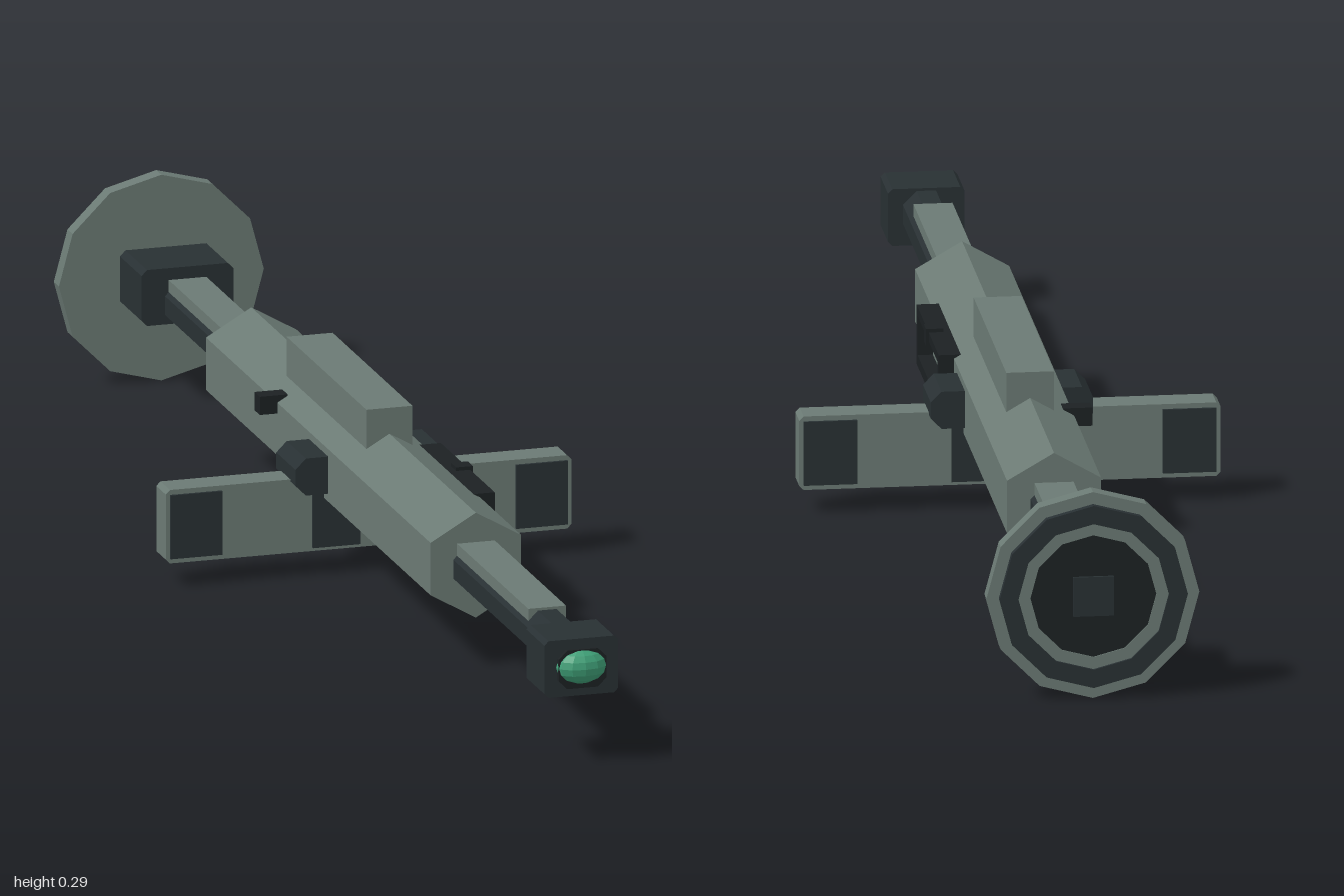
import * as THREE from 'three';

const mat = (color) => new THREE.MeshStandardMaterial({ color, flatShading: true });

export function createModel() {
  const model = new THREE.Group();
  const grey = mat(0x6b7a74), dark = mat(0x283033), black = mat(0x1c2123), green = mat(0x3f9f77);
  const axisY = 0.148;

  const add = (name, geometry, material, x = 0, y = 0, z = 0) => {
    const mesh = new THREE.Mesh(geometry, material);
    mesh.name = name;
    mesh.position.set(x, y, z);
    model.add(mesh);
    return mesh;
  };
  // Box given by its limits on each axis
  const box = (name, material, [x0, x1], [y0, y1], [z0, z1]) =>
    add(name, new THREE.BoxGeometry(x1 - x0, y1 - y0, z1 - z0), material,
      (x0 + x1) / 2, (y0 + y1) / 2, (z0 + z1) / 2);
  // Box with cut corners in the xy plane, running along z
  const chamferBox = (name, material, [x0, x1], [y0, y1], [z0, z1], c) => {
    const shape = new THREE.Shape([
      [x0 + c, y0], [x1 - c, y0], [x1, y0 + c], [x1, y1 - c],
      [x1 - c, y1], [x0 + c, y1], [x0, y1 - c], [x0, y0 + c],
    ].map(([x, y]) => new THREE.Vector2(x, y)));
    const geometry = new THREE.ExtrudeGeometry(shape, { depth: z1 - z0, bevelEnabled: false });
    return add(name, geometry, material, 0, 0, z0);
  };
  // Faceted prism along z with one corner pointing up
  const prism = (name, material, radius, sides, [z0, z1], y = axisY, turn = 0) => {
    const geometry = new THREE.CylinderGeometry(radius, radius, z1 - z0, sides);
    geometry.rotateY(turn).rotateX(-Math.PI / 2);
    return add(name, geometry, material, 0, y, (z0 + z1) / 2);
  };

  // Main body and top ridge
  prism('body', grey, 0.075, 6, [-0.55, 0.49]);
  box('topRidge', grey, [-0.033, 0.033], [0.17, 0.26], [-0.28, 0.09]);

  // Inner tube with its upper strips
  prism('innerTube', dark, 0.035, 8, [-0.97, 0.93], 0.145, Math.PI / 8);
  box('frontStrip', grey, [-0.027, 0.027], [0.16, 0.181], [0.48, 0.82]);
  box('rearStrip', grey, [-0.027, 0.027], [0.16, 0.181], [-0.86, -0.54]);

  // Front housing and lens
  chamferBox('frontHousing', dark, [-0.053, 0.053], [0.1, 0.181], [0.895, 0.978], 0.006);
  chamferBox('lensSeat', black, [-0.034, 0.034], [0.112, 0.167], [0.97, 0.984], 0.012);
  const lens = add('lens', new THREE.SphereGeometry(1, 12, 8), green, 0, 0.142, 0.976);
  lens.scale.set(0.037, 0.025, 0.024);

  // Rear housing
  chamferBox('rearHousing', dark, [-0.066, 0.066], [0.118, 0.198], [-0.945, -0.845], 0.008);

  // Twelve-sided end plate with raised rings on its back
  prism('endPlate', grey, 0.147, 12, [-0.99, -0.966]);
  const ring = (name, material, outer, inner, depth) => {
    const shape = new THREE.Shape();
    const hole = new THREE.Path();
    for (let i = 0; i < 12; i++) {
      const a = (i * Math.PI) / 6, s = i ? 'lineTo' : 'moveTo';
      shape[s](outer * Math.cos(a), outer * Math.sin(a));
      hole[s](inner * Math.cos(a), inner * Math.sin(a));
    }
    shape.holes.push(hole);
    add(name, new THREE.ExtrudeGeometry(shape, { depth, bevelEnabled: false }), material, 0, axisY, -0.989 - depth);
  };
  ring('outerRing', dark, 0.13, 0.104, 0.011);
  ring('middleRing', grey, 0.104, 0.087, 0.007);
  prism('plateCentre', black, 0.087, 12, [-0.994, -0.985]);
  box('plateBlock', dark, [-0.028, 0.028], [0.12, 0.176], [-0.998, -0.99]);

  // Crossguard with dark end pads, inner pads and side collars
  chamferBox('crossguard', grey, [-0.291, 0.291], [0.035, 0.14], [-0.051, -0.007], 0.006);
  for (const side of [-1, 1]) {
    const span = (a, b) => (side > 0 ? [a, b] : [-b, -a]);
    box('endPad', dark, span(0.211, 0.285), [0.042, 0.133], [-0.055, -0.003]);
    box('innerPad', dark, span(0.013, 0.081), [0.04, 0.14], [-0.055, -0.003]);
    chamferBox('sideCollar', dark, span(0.045, 0.112), [0.122, 0.175], [-0.073, 0.016], 0.015);
  }

  // Open frame on the left side with a small stud
  box('frameTop', black, [0.05, 0.086], [0.178, 0.191], [0.05, 0.3]);
  box('frameBottom', black, [0.05, 0.086], [0.106, 0.122], [0.05, 0.3]);
  box('frameEnd', black, [0.05, 0.086], [0.115, 0.185], [0.288, 0.3]);
  box('frameEnd', black, [0.05, 0.086], [0.115, 0.185], [0.05, 0.062]);
  box('frameStud', black, [0.066, 0.09], [0.172, 0.196], [0.162, 0.186]);

  // Knob on the right side
  box('sideKnob', black, [-0.09, -0.05], [0.17, 0.196], [-0.245, -0.22]);

  return model;
}
